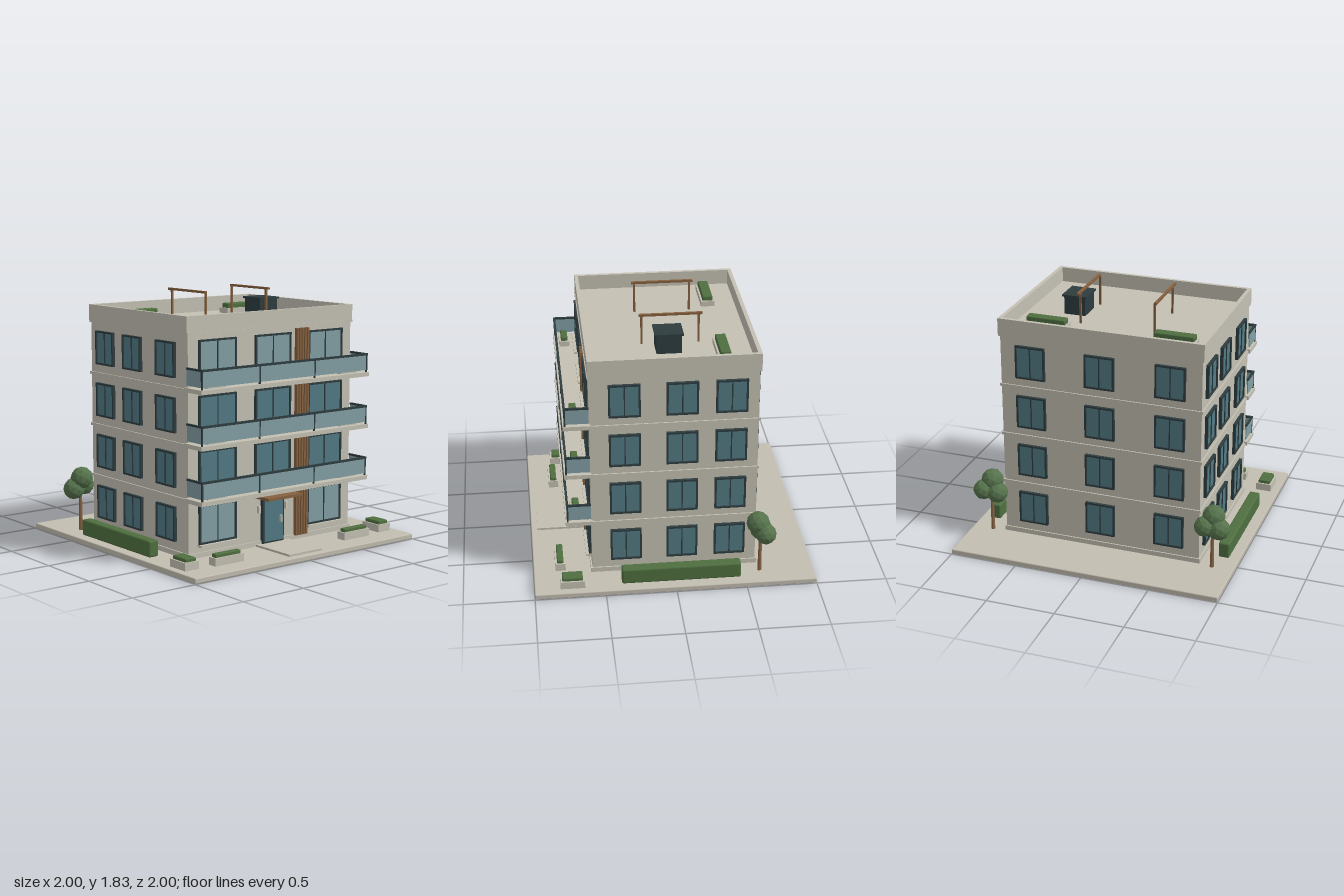
import * as THREE from 'three';
import { RoundedBoxGeometry } from 'three/addons/geometries/RoundedBoxGeometry.js';

const mat = (name, color) => {
  const m = new THREE.MeshStandardMaterial({ color });
  m.name = name;
  return m;
};

export function createModel() {
  const wall = mat('wall render', 0xc4c0b3);
  const paving = mat('paving', 0xc2bdb0);
  const frame = mat('dark frame', 0x2e3c3f);
  const paleGlass = mat('pale glass', 0x829fa4);
  const darkGlass = mat('dark glass', 0x527a84);
  const wood = mat('wood', 0x86613f);
  const hedge = mat('hedge green', 0x4f6f40);
  const leaf = mat('tree green', 0x56734c);
  const trunk = mat('trunk brown', 0x8a6546);
  const metal = mat('pale metal', 0xcbc6b6);

  const model = new THREE.Group();
  model.name = 'apartmentBlock';

  const group = (name, parent = model) => {
    const g = new THREE.Group();
    g.name = name;
    parent.add(g);
    return g;
  };
  const add = (parent, name, geometry, material, x = 0, y = 0, z = 0) => {
    const m = new THREE.Mesh(geometry, material);
    m.name = name;
    m.position.set(x, y, z);
    parent.add(m);
    return m;
  };
  // Box given by its limits on each axis, with optional rounding
  const box = (parent, name, material, x0, x1, y0, y1, z0, z1, r = 0) => {
    const s = [x1 - x0, y1 - y0, z1 - z0];
    const g = r ? new RoundedBoxGeometry(...s, 2, r) : new THREE.BoxGeometry(...s);
    return add(parent, name, g, material, (x0 + x1) / 2, (y0 + y1) / 2, (z0 + z1) / 2);
  };

  const STOREY = 0.38, FRONT = 0.58, BACK = -0.59, SIDE = 0.74;

  // Ground slab and entrance path
  box(model, 'groundSlab', paving, -1, 1, 0, 0.04, -1, 1, 0.008);
  box(model, 'entrancePath', paving, -0.15, 0.15, 0.04, 0.055, FRONT, 0.955);

  // Main body, plinth and storey bands
  box(model, 'body', wall, -SIDE, SIDE, 0.04, 1.6, BACK, FRONT);
  box(model, 'plinth', wall, -0.75, 0.75, 0.04, 0.075, BACK - 0.01, FRONT + 0.01);
  for (let i = 1; i <= 4; i++) {
    const y = 0.06 + i * STOREY;
    box(model, 'storeyBand', wall, -0.75, 0.75, y, y + 0.02, BACK - 0.01, FRONT + 0.01);
  }

  // Parapet ring around the flat roof
  const ring = new THREE.Shape([[-0.753, -0.585], [0.753, -0.585], [0.753, 0.6], [-0.753, 0.6]]
    .map(p => new THREE.Vector2(...p)));
  ring.holes.push(new THREE.Path([[-0.725, -0.558], [-0.725, 0.572], [0.725, 0.572], [0.725, -0.558]]
    .map(p => new THREE.Vector2(...p))));
  add(model, 'parapet', new THREE.ExtrudeGeometry(ring, { depth: 0.115, bevelEnabled: false }), wall, 0, 1.595, 0)
    .rotation.x = -Math.PI / 2;

  // Two-pane window facing +z, centred on its origin
  const makeWindow = (w, h, depth, glass, sill) => {
    const g = new THREE.Group();
    g.name = 'window';
    const b = 0.013, x = w / 2, y = h / 2;
    box(g, 'glass', glass, -x + b, x - b, -y + b, y - b, 0, depth * 0.5);
    for (const s of [-1, 1]) {
      add(g, 'jamb', new THREE.BoxGeometry(b, h, depth), frame, s * (x - b / 2), 0, depth / 2);
      add(g, 'rail', new THREE.BoxGeometry(w, b, depth), frame, 0, s * (y - b / 2), depth / 2);
    }
    add(g, 'mullion', new THREE.BoxGeometry(0.008, h - b, depth * 0.8), frame, 0, 0, depth * 0.4);
    if (sill) box(g, 'sill', wall, -x - 0.005, x + 0.005, -y - 0.016, -y, 0, 0.04);
    return g;
  };
  const place = (parent, win, x, y, z, turn) => {
    win.position.set(x, y, z);
    win.rotation.y = turn;
    parent.add(win);
  };

  const windows = group('windows');
  for (let i = 0; i < 4; i++) {
    const dy = i * STOREY;
    const glass = i === 0 || i === 3 ? paleGlass : darkGlass;
    for (const x of [-0.4925, 0, 0.4875]) {
      if (i === 0 && x === 0) continue;
      place(windows, makeWindow(0.325, 0.275, 0.018, glass, true), x, 0.268 + dy, FRONT, 0);
    }
    for (const x of [-0.515, 0, 0.515])
      place(windows, makeWindow(0.22, 0.245, 0.022, darkGlass, false), x, 0.263 + dy, BACK, Math.PI);
    for (const z of [0.337, -0.06, -0.4])
      for (const s of [-1, 1])
        place(windows, makeWindow(0.22, 0.245, 0.022, darkGlass, false), s * SIDE, 0.263 + dy, z, s * Math.PI / 2);
  }

  // Vertical timber slats beside the right-hand windows
  const slats = group('timberSlats');
  for (let i = 0; i < 4; i++) {
    const y0 = i ? 0.09 + i * STOREY : 0.07;
    for (let k = 0; k < 5; k++) {
      const x = 0.207 + k * 0.0245;
      box(slats, 'slat', wood, x, x + 0.015, y0, 0.43 + i * STOREY, FRONT, 0.608);
    }
  }

  // Planter trough with clipped greenery
  const planter = (name, x0, x1, z0, z1, y, h, gh) => {
    const g = group(name);
    box(g, 'trough', wall, x0, x1, y, y + h, z0, z1);
    box(g, 'greenery', hedge, x0 + 0.013, x1 - 0.013, y + h - 0.01, y + h + gh, z0 + 0.013, z1 - 0.013, 0.009);
  };

  // Balconies with glass balustrades
  for (let i = 1; i <= 3; i++) {
    const y = 0.09 + i * STOREY, g = group('balcony');
    box(g, 'slab', wall, -0.762, 0.762, y - 0.03, y, FRONT - 0.01, 0.76);
    for (let k = 0; k < 3; k++) {
      const x = -0.75 + k * 0.5;
      box(g, 'frontGlass', paleGlass, x + 0.004, x + 0.496, y + 0.014, y + 0.125, 0.742, 0.749);
    }
    for (const x of [-0.748, -0.25, 0.25, 0.748])
      box(g, 'post', frame, x - 0.005, x + 0.005, y, y + 0.13, 0.74, 0.752);
    box(g, 'frontRail', frame, -0.755, 0.755, y + 0.122, y + 0.137, 0.739, 0.755);
    for (const s of [-1, 1]) {
      add(g, 'sideGlass', new THREE.BoxGeometry(0.007, 0.111, 0.16), paleGlass, s * 0.748, y + 0.07, 0.662);
      add(g, 'sideRail', new THREE.BoxGeometry(0.014, 0.014, 0.17), frame, s * 0.748, y + 0.13, 0.665);
      planter('balconyPlanter', s * 0.6 - 0.08, s * 0.6 + 0.08, 0.645, 0.72, y, 0.04, 0.03);
    }
  }

  // Entrance door, canopy and wall lamps
  const entrance = group('entrance');
  box(entrance, 'doorFrame', frame, -0.1, 0.095, 0.055, 0.39, FRONT, 0.605);
  box(entrance, 'doorPanel', darkGlass, -0.085, 0.08, 0.068, 0.378, 0.605, 0.612);
  box(entrance, 'handle', metal, 0.046, 0.055, 0.2, 0.25, 0.612, 0.635);
  box(entrance, 'canopy', wood, -0.155, 0.153, 0.39, 0.41, FRONT, 0.73);
  for (const s of [-1, 1])
    box(entrance, 'wallLamp', metal, s * 0.125 - 0.009, s * 0.125 + 0.009, 0.28, 0.332, FRONT, 0.605);

  // Roof: timber frames, plant box and planters
  for (const s of [-1, 1]) {
    const g = group('roofPergola');
    add(g, 'beam', new THREE.BoxGeometry(0.018, 0.016, 0.445), wood, s * 0.288, 1.822, -0.027);
    for (const z of [0.175, -0.225])
      add(g, 'post', new THREE.BoxGeometry(0.014, 0.22, 0.014), wood, s * 0.277, 1.708, z);
    planter('roofPlanter', s * 0.473 - 0.16, s * 0.473 + 0.16, -0.42, -0.32, 1.6, 0.04, 0.035);
  }
  const unit = group('roofUnit');
  box(unit, 'casing', frame, 0.295, 0.455, 1.6, 1.735, -0.088, 0.088);
  box(unit, 'lid', frame, 0.283, 0.466, 1.733, 1.748, -0.1, 0.1);

  // Ground planters, side hedges and trees
  for (const s of [-1, 1]) {
    planter('cornerPlanter', s * 0.887 - 0.058, s * 0.887 + 0.058, 0.645, 0.817, 0.04, 0.055, 0.025);
    planter('frontPlanter', s * 0.588 - 0.123, s * 0.588 + 0.123, 0.77, 0.843, 0.04, 0.055, 0.025);
    box(model, 'sideHedge', hedge, s * 0.888 - 0.04, s * 0.888 + 0.04, 0.04, 0.157, -0.465, 0.383, 0.014);

    const tree = group('tree');
    tree.position.set(s * 0.843, 0.04, -0.61);
    add(tree, 'trunk', new THREE.CylinderGeometry(0.011, 0.015, 0.3, 8), trunk, 0, 0.15, 0);
    for (const [x, y, z, r] of [[-0.048, 0.315, -0.01, 0.08], [0.052, 0.33, -0.03, 0.075], [0, 0.395, 0.02, 0.083]])
      add(tree, 'foliage', new THREE.IcosahedronGeometry(r, 1), leaf, x, y, z);
  }
  leaf.flatShading = true;

  return model;
}
